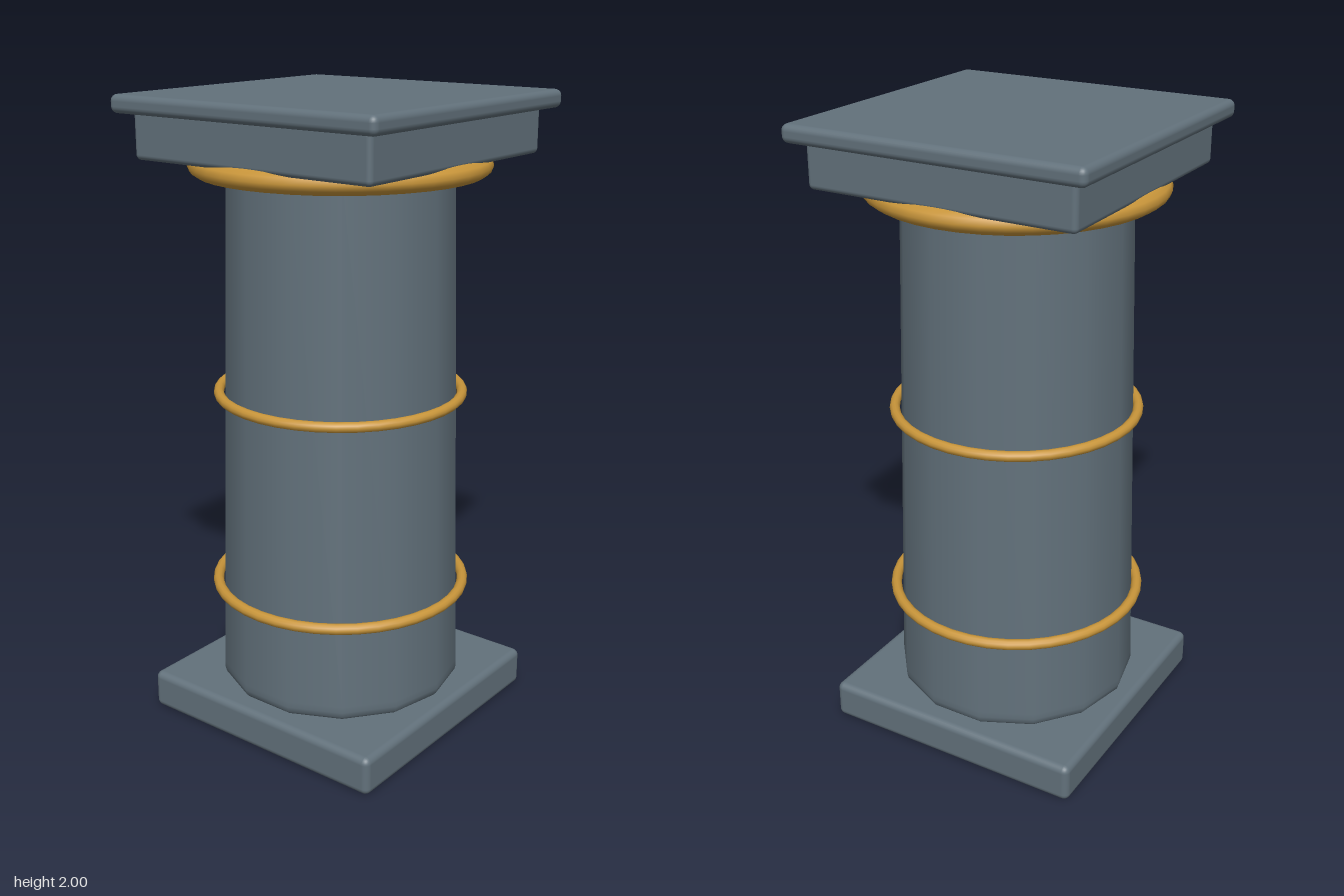
import * as THREE from 'three';
import { RoundedBoxGeometry } from 'three/addons/geometries/RoundedBoxGeometry.js';

const stone = new THREE.MeshStandardMaterial({ color: 0x62717b });
const gold = new THREE.MeshStandardMaterial({ color: 0xc8953a });

export function createModel() {
  const model = new THREE.Group();

  const add = (name, geometry, material, y) => {
    const mesh = new THREE.Mesh(geometry, material);
    mesh.name = name;
    mesh.position.y = y;
    model.add(mesh);
  };

  // Square slab with softened edges, given by its bottom and top heights
  const slab = (name, width, y0, y1, bevel) =>
    add(name, new RoundedBoxGeometry(width, y1 - y0, width, 3, bevel), stone, (y0 + y1) / 2);

  // Horizontal ring with an elliptical section
  const ring = (name, outer, halfWidth, halfHeight, y) => {
    const geometry = new THREE.TorusGeometry(outer - halfWidth, halfWidth, 12, 40);
    geometry.rotateX(Math.PI / 2).scale(1, halfHeight / halfWidth, 1);
    add(name, geometry, gold, y);
  };

  // Plinth and two-step capital
  slab('plinth', 0.88, 0, 0.125, 0.022);
  slab('capitalBlock', 0.86, 1.81, 1.955, 0.016);
  slab('capitalSlab', 0.956, 1.945, 2, 0.02);

  // Tapered 14-sided shaft with a softened foot
  const profile = [
    [0, 0.12], [0.37, 0.12], [0.378, 0.125], [0.387, 0.135], [0.391, 0.152],
    [0.39, 0.17], [0.347, 1.79], [0.346, 1.82], [0, 1.82],
  ].map(([r, y]) => new THREE.Vector2(r, y));
  add('shaft', new THREE.LatheGeometry(profile, 14), stone, 0);

  // Gold bands
  ring('lowerBand', 0.417, 0.017, 0.017, 0.447);
  ring('middleBand', 0.398, 0.016, 0.016, 1.086);
  ring('neckRing', 0.457, 0.05, 0.034, 1.792);

  return model;
}
